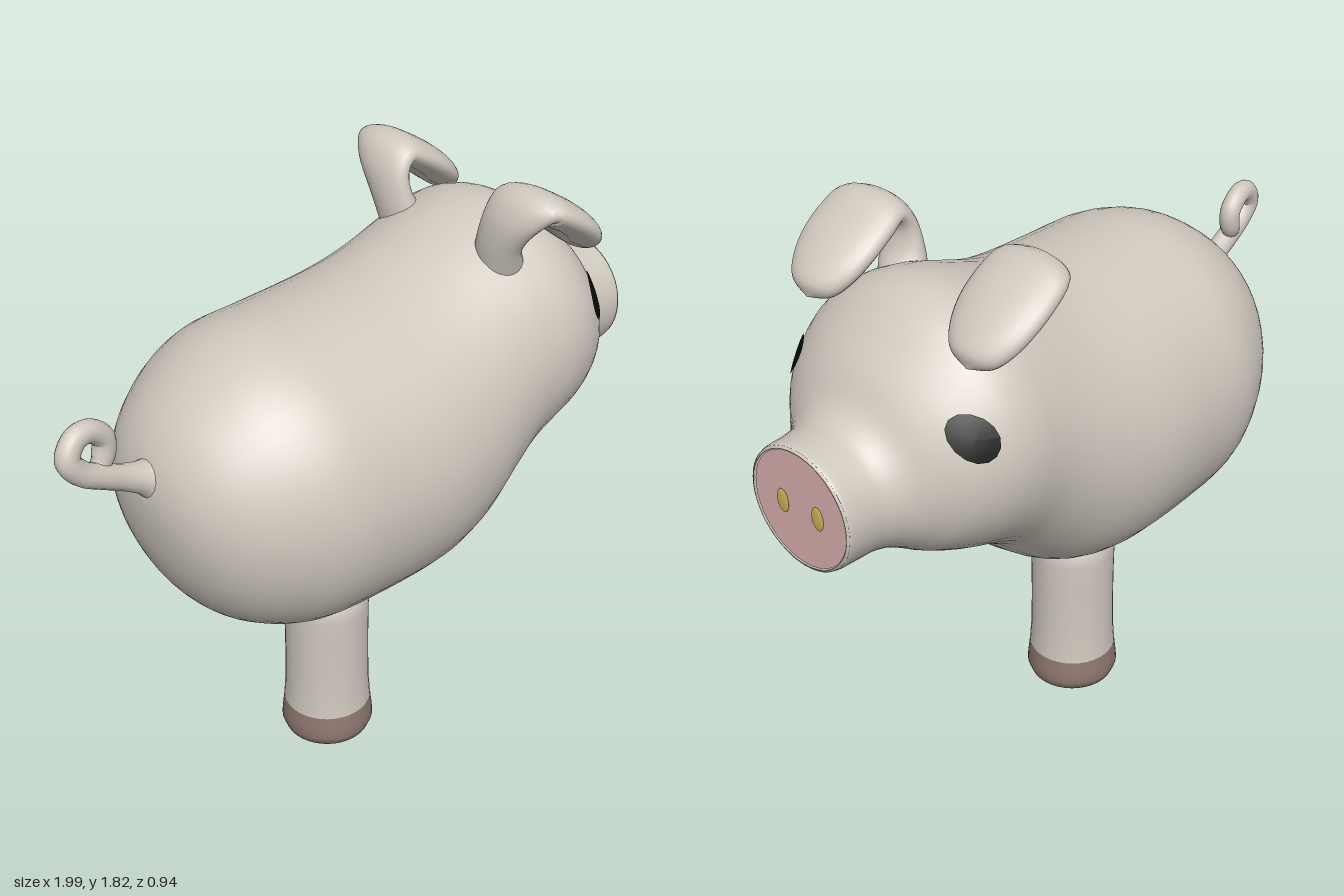
import * as THREE from 'three';

const mat = (name, color, side = THREE.FrontSide) => {
  const m = new THREE.MeshStandardMaterial({ color, side });
  m.name = name;
  return m;
};

// Skin a list of rings, each an array of Vector3, into a smooth surface
function skin(rings) {
  const n = rings[0].length, pos = [], index = [];
  rings.forEach(r => r.forEach(p => pos.push(p.x, p.y, p.z)));
  for (let i = 0; i < rings.length - 1; i++) {
    for (let j = 0; j < n; j++) {
      const a = i * n + j, b = i * n + (j + 1) % n;
      index.push(a, b, a + n, b, b + n, a + n);
    }
  }
  const g = new THREE.BufferGeometry();
  g.setAttribute('position', new THREE.Float32BufferAttribute(pos, 3));
  g.setIndex(index);
  g.computeVertexNormals();
  return g;
}

// Elliptical ring around c: half-size t along n, half-size w along z
function ring(c, n, t, w, count) {
  return Array.from({ length: count }, (_, j) => {
    const a = j / count * Math.PI * 2;
    return new THREE.Vector3(0, 0, w * Math.sin(a)).addScaledVector(n, t * Math.cos(a)).add(c);
  });
}

const spline = pts => new THREE.CatmullRomCurve3(pts, false, 'catmullrom', 0.5);

// Sweep an ellipse along stations [x, y, z, thickness, width]
function sweep(stations, steps, count) {
  const path = spline(stations.map(s => new THREE.Vector3(s[0], s[1], s[2])));
  const size = spline(stations.map(s => new THREE.Vector3(s[3], s[4], 0)));
  const rings = [];
  for (let i = 0; i <= steps; i++) {
    const d = path.getTangent(i / steps), s = size.getPoint(i / steps);
    const n = new THREE.Vector3(-d.y, d.x, 0).normalize();
    rings.push(ring(path.getPoint(i / steps), n, Math.max(s.x, 0), Math.max(s.y, 0), count));
  }
  return skin(rings);
}

// Body stations along x: [x, top, bottom, half width]
const BODY = [
  [-0.75, 1.17, 1.17, 0], [-0.742, 1.23, 1.08, 0.09], [-0.715, 1.31, 0.96, 0.185],
  [-0.66, 1.39, 0.835, 0.275], [-0.58, 1.46, 0.735, 0.35], [-0.48, 1.52, 0.667, 0.41],
  [-0.36, 1.552, 0.625, 0.453], [-0.2, 1.557, 0.613, 0.464], [0, 1.565, 0.615, 0.47],
  [0.12, 1.583, 0.628, 0.46], [0.22, 1.61, 0.668, 0.445], [0.32, 1.647, 0.745, 0.427],
  [0.42, 1.68, 0.832, 0.416], [0.52, 1.692, 0.89, 0.414], [0.61, 1.66, 0.925, 0.395],
  [0.7, 1.585, 0.965, 0.345], [0.76, 1.52, 1.0, 0.285], [0.81, 1.445, 1.022, 0.23],
  [0.86, 1.408, 1.03, 0.198], [0.91, 1.4, 1.03, 0.188], [0.97, 1.398, 1.032, 0.184],
  [0.985, 1.394, 1.036, 0.18], [0.99, 1.387, 1.043, 0.173], [0.983, 1.382, 1.048, 0.168],
  [0.98, 1.215, 1.215, 0],
];
const upper = spline(BODY.map(s => new THREE.Vector3(s[0], s[1], s[2])));
const widths = spline(BODY.map(s => new THREE.Vector3(s[0], s[3], 0)));

function section(t) {
  const p = upper.getPoint(t);
  return { x: p.x, y: (p.y + p.z) / 2, h: Math.max((p.y - p.z) / 2, 0), w: Math.max(widths.getPoint(t).y, 0) };
}

// Half width of the body surface at a given x and y
function surfaceZ(x, y) {
  let lo = 0, hi = 0.8;
  for (let i = 0; i < 30; i++) {
    const mid = (lo + hi) / 2;
    if (section(mid).x < x) lo = mid; else hi = mid;
  }
  const s = section(lo);
  return s.w * Math.sqrt(Math.max(0, 1 - ((y - s.y) / s.h) ** 2));
}

export function createModel() {
  const group = new THREE.Group();
  const skinMat = mat('warm grey skin', 0xcfc8be);
  const pink = mat('snout pink', 0xd9adad);
  const brown = mat('hoof brown', 0x8f7870);
  const black = mat('eye black', 0x0b0b0b, THREE.DoubleSide);
  const yellow = mat('nostril yellow', 0xc9b055);
  const add = (name, geometry, material) => {
    const m = new THREE.Mesh(geometry, material);
    m.name = name;
    group.add(m);
    return m;
  };

  // Body, head and snout in one smooth skin
  const rings = [], steps = (BODY.length - 1) * 4;
  const up = new THREE.Vector3(0, 1, 0);
  for (let i = 0; i <= steps; i++) {
    const s = section(i / steps);
    rings.push(ring(new THREE.Vector3(s.x, s.y, 0), up, s.h, s.w, 48));
  }
  add('body', skin(rings), skinMat);

  // Snout plate and nostrils
  const plate = add('snoutPlate', new THREE.CircleGeometry(0.17, 40), pink);
  plate.rotation.y = Math.PI / 2;
  plate.position.set(0.986, 1.215, 0);

  for (const s of [1, -1]) {
    const side = s > 0 ? 'left' : 'right';
    const nostril = add(side + 'Nostril', new THREE.SphereGeometry(1, 16, 10), yellow);
    nostril.scale.set(0.005, 0.036, 0.022);
    nostril.position.set(0.987, 1.215, s * 0.065);

    // Eye patch laid onto the head surface
    const eye = new THREE.RingGeometry(0, 1, 14, 3), p = eye.attributes.position;
    for (let i = 0; i < p.count; i++) {
      const x = 0.68 + s * p.getX(i) * 0.05, y = 1.415 + p.getY(i) * 0.061;
      p.setXYZ(i, x, y, s * (surfaceZ(x, y) + 0.007));
    }
    eye.computeVertexNormals();
    add(side + 'Eye', eye, black);

    // Ear: rises from the head and flops forward
    add(side + 'Ear', sweep([
      [0.4, 1.56, s * 0.19, 0.07, 0.08],
      [0.37, 1.65, s * 0.22, 0.048, 0.08],
      [0.372, 1.73, s * 0.26, 0.043, 0.1],
      [0.41, 1.775, s * 0.285, 0.048, 0.122],
      [0.47, 1.747, s * 0.288, 0.05, 0.133],
      [0.54, 1.7, s * 0.288, 0.05, 0.13],
      [0.6, 1.65, s * 0.288, 0.047, 0.108],
      [0.64, 1.612, s * 0.288, 0.036, 0.068],
      [0.66, 1.594, s * 0.288, 0, 0],
    ], 48, 28), skinMat);
  }

  // Curled tail
  add('tail', sweep([
    [-0.69, 1.22, 0, 0.085, 0.08], [-0.74, 1.242, 0, 0.05, 0.05], [-0.8, 1.268, 0, 0.038, 0.036],
    [-0.87, 1.303, 0.002, 0.036, 0.034], [-0.93, 1.338, 0.004, 0.035, 0.033],
    [-0.965, 1.39, 0, -0.0 + 0.035, 0.033], [-0.935, 1.437, -0.008, 0.034, 0.032],
    [-0.885, 1.44, -0.014, 0.033, 0.032], [-0.842, 1.4, -0.018, 0.033, 0.032],
    [-0.85, 1.345, -0.016, 0.033, 0.03], [-0.88, 1.318, -0.01, 0.02, 0.02], [-0.89, 1.31, -0.01, 0, 0],
  ], 66, 16), skinMat);

  // Single leg with a domed top, and its hoof
  const lathe = pts => new THREE.LatheGeometry(pts.map(p => new THREE.Vector2(p[0], p[1])), 36);
  const dome = Array.from({ length: 9 }, (_, i) => {
    const a = i / 8 * Math.PI / 2;
    return [0.133 * Math.cos(a), 0.495 + 0.13 * Math.sin(a)];
  });
  const leg = add('leg', lathe([[0.139, 0.12], [0.134, 0.19], [0.132, 0.3], [0.132, 0.4], ...dome]), skinMat);
  const hoof = add('hoof', lathe([[0, 0], [0.115, 0.002], [0.136, 0.012], [0.147, 0.04], [0.144, 0.075], [0.139, 0.12]]), brown);
  leg.position.x = hoof.position.x = -0.097;

  return group;
}
